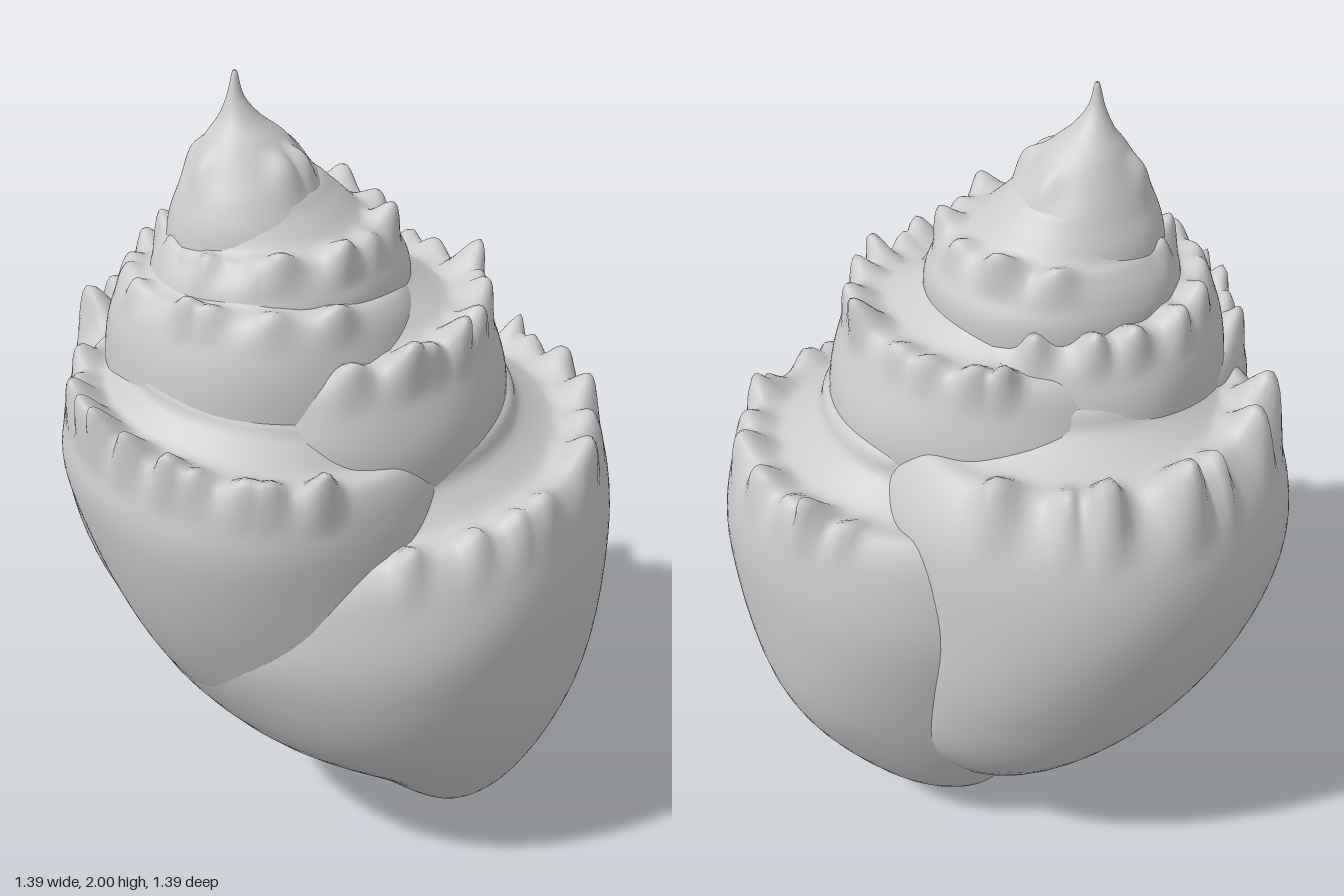
import * as THREE from 'three';

const SEGMENTS = 144, ROWS_PER_RING = 6;
const material = new THREE.MeshStandardMaterial({ color: 0xcccccc });

// small seeded generator for uneven knobs
function seeded(seed) {
  return () => {
    seed = (seed * 16807) % 2147483647;
    return seed / 2147483647;
  };
}

// One inflated chamber: oval rings [y, cx, cz, rx, rz, knob weight] from base to top.
// tilt slopes the shoulder; back flattens the rear half; knobs run along the shoulder
// between two angles (degrees, from +x towards +z).
function chamber(name, rings, { tilt = [0, 0], back = 1, from, to, count, height, width, seed }) {
  const centre = new THREE.CatmullRomCurve3(rings.map(r => new THREE.Vector3(r[1], r[0], r[2])), false, 'catmullrom', 0.5);
  const size = new THREE.CatmullRomCurve3(rings.map(r => new THREE.Vector3(r[3], r[5] || 0, r[4])), false, 'catmullrom', 0.5);
  const random = seeded(seed * 7919);
  const knobs = Array.from({ length: count }, (_, i) => ({
    angle: THREE.MathUtils.degToRad(from + (to - from) * (i + 0.5 + (random() - 0.5) * 0.7) / count),
    size: height * (0.4 + random()),
    width: width * (0.75 + 0.6 * random()),
  }));
  const rows = (rings.length - 1) * ROWS_PER_RING;
  const yShoulder = rings.find(r => r[5])[0], y0 = rings[0][0];
  const positions = [], index = [];
  for (let i = 0; i <= rows; i++) {
    const c = centre.getPoint(i / rows), s = size.getPoint(i / rows);
    const rx = Math.max(s.x, 0.001), rz = Math.max(s.z, 0.001), weight = Math.max(s.y, 0);
    const slope = THREE.MathUtils.smoothstep(c.y, y0, yShoulder);
    for (let j = 0; j < SEGMENTS; j++) {
      const a = j / SEGMENTS * Math.PI * 2;
      let lift = 0;
      for (const k of knobs) {
        const d = Math.atan2(Math.sin(a - k.angle), Math.cos(a - k.angle)) / k.width;
        lift = Math.max(lift, k.size * Math.exp(-d * d));
      }
      lift *= weight;
      const swell = 1 + 0.006 * Math.sin(a * 5 + c.y * 9 + seed);
      const dx = Math.cos(a) * (rx * swell + lift * 0.4);
      const dz = Math.sin(a) * (rz * swell + lift * 0.4) * (Math.sin(a) < 0 ? back : 1);
      positions.push(c.x + dx, c.y + lift * 0.9 + slope * (tilt[0] * dx + tilt[1] * dz), c.z + dz);
      if (i < rows) {
        const n = (j + 1) % SEGMENTS, p = i * SEGMENTS, q = p + SEGMENTS;
        index.push(p + j, q + j, p + n, q + j, q + n, p + n);
      }
    }
  }
  const geometry = new THREE.BufferGeometry();
  geometry.setAttribute('position', new THREE.Float32BufferAttribute(positions, 3));
  geometry.setIndex(index);
  geometry.computeVertexNormals();
  const mesh = new THREE.Mesh(geometry, material);
  mesh.name = name;
  return mesh;
}

export function createModel() {
  const shell = new THREE.Group();
  shell.name = 'spiralShell';
  shell.add(
    // large front chamber, drawn out to a narrow keel at the base
    chamber('bodyChamber', [
      [0.005, 0.18, 0.1, 0.0, 0.04],
      [0.05, 0.18, 0.1, 0.1, 0.25],
      [0.18, 0.2, 0.11, 0.265, 0.385],
      [0.45, 0.13, 0.1, 0.505, 0.54],
      [0.75, 0.08, 0.08, 0.61, 0.615],
      [0.95, 0.08, 0.08, 0.595, 0.595],
      [1.05, 0.08, 0.08, 0.54, 0.545, 1],
      [1.06, 0.07, 0.08, 0.47, 0.475],
      [1.12, 0.04, 0.07, 0.41, 0.42],
      [1.2, 0.02, 0.06, 0.36, 0.37],
      [1.22, 0.02, 0.05, 0, 0],
    ], { tilt: [0.16, 0], back: 0.8, from: -35, to: 118, count: 12, height: 0.065, width: 0.06, seed: 11 }),
    // rear chamber
    chamber('rearChamber', [
      [0.07, 0.1, 0.02, 0.0, 0.0],
      [0.17, 0.08, -0.02, 0.2, 0.21],
      [0.4, 0.04, -0.1, 0.39, 0.37],
      [0.65, -0.02, -0.16, 0.485, 0.46],
      [0.92, -0.06, -0.19, 0.525, 0.505],
      [1.14, -0.06, -0.19, 0.5, 0.485],
      [1.27, -0.06, -0.18, 0.425, 0.405, 1],
      [1.28, -0.07, -0.16, 0.36, 0.34],
      [1.33, -0.09, -0.1, 0.31, 0.31],
      [1.4, -0.1, -0.05, 0.28, 0.3],
      [1.42, -0.1, -0.05, 0, 0],
    ], { from: 212, to: 345, count: 7, height: 0.085, width: 0.085, seed: 23 }),
    // chamber on the right flank
    chamber('flankChamber', [
      [0.26, -0.14, 0.12, 0.0, 0.0],
      [0.34, -0.14, 0.12, 0.13, 0.15],
      [0.55, -0.15, 0.11, 0.32, 0.34],
      [0.8, -0.19, 0.09, 0.42, 0.43],
      [1.05, -0.22, 0.08, 0.47, 0.465],
      [1.18, -0.22, 0.08, 0.465, 0.46],
      [1.26, -0.22, 0.08, 0.425, 0.43, 1],
      [1.27, -0.21, 0.07, 0.37, 0.38],
      [1.32, -0.19, 0.05, 0.34, 0.35],
      [1.38, -0.17, 0.03, 0.31, 0.3],
      [1.4, -0.16, 0.03, 0, 0],
    ], { tilt: [-0.05, -0.13], from: 98, to: 222, count: 11, height: 0.065, width: 0.07, seed: 37 }),
    // lower spire whorl, leaning to the front left
    chamber('lowerSpireWhorl', [
      [0.95, -0.02, 0.06, 0.4, 0.38],
      [1.2, -0.02, 0.06, 0.435, 0.43],
      [1.36, -0.02, 0.06, 0.39, 0.405],
      [1.43, -0.02, 0.06, 0.35, 0.37, 1],
      [1.44, -0.03, 0.05, 0.29, 0.31],
      [1.49, -0.06, 0.03, 0.24, 0.26],
      [1.54, -0.08, 0.02, 0.2, 0.2],
      [1.55, -0.08, 0.02, 0, 0],
    ], { tilt: [0.11, 0], from: -60, to: 120, count: 12, height: 0.07, width: 0.09, seed: 41 }),
    // middle spire whorl, leaning to the right
    chamber('middleSpireWhorl', [
      [1.1, -0.15, -0.01, 0.39, 0.4],
      [1.34, -0.15, -0.01, 0.385, 0.4],
      [1.46, -0.15, -0.01, 0.36, 0.375],
      [1.52, -0.15, -0.005, 0.32, 0.335, 1],
      [1.54, -0.15, 0.0, 0.28, 0.28],
      [1.59, -0.15, 0.0, 0.25, 0.25],
      [1.63, -0.15, 0.0, 0.2, 0.2],
      [1.64, -0.15, 0.0, 0, 0],
    ], { tilt: [-0.05, 0.04], from: 85, to: 335, count: 12, height: 0.05, width: 0.1, seed: 53 }),
    // upper spire whorl
    chamber('upperSpireWhorl', [
      [1.3, -0.12, 0.0, 0.29, 0.29],
      [1.5, -0.12, 0.0, 0.31, 0.3],
      [1.58, -0.13, 0.0, 0.295, 0.285],
      [1.635, -0.13, 0.0, 0.255, 0.25, 1],
      [1.66, -0.14, -0.01, 0.215, 0.21],
      [1.71, -0.16, -0.02, 0.185, 0.17],
      [1.76, -0.18, -0.03, 0.14, 0.13],
      [1.78, -0.18, -0.03, 0, 0],
    ], { tilt: [0.06, 0], from: -60, to: 250, count: 12, height: 0.045, width: 0.13, seed: 67 }),
    // pointed apex
    chamber('apex', [
      [1.5, -0.17, -0.03, 0.22, 0.22],
      [1.65, -0.17, -0.03, 0.205, 0.2],
      [1.73, -0.175, -0.03, 0.175, 0.165],
      [1.79, -0.18, -0.035, 0.135, 0.13, 1],
      [1.85, -0.185, -0.04, 0.095, 0.09],
      [1.895, -0.195, -0.045, 0.05, 0.05],
      [1.945, -0.205, -0.045, 0.02, 0.02],
      [2.0, -0.205, -0.045, 0.006, 0.006],
      [2.0, -0.205, -0.045, 0, 0],
    ], { from: -60, to: 250, count: 5, height: 0.028, width: 0.25, seed: 79 }),
  );
  return shell;
}
